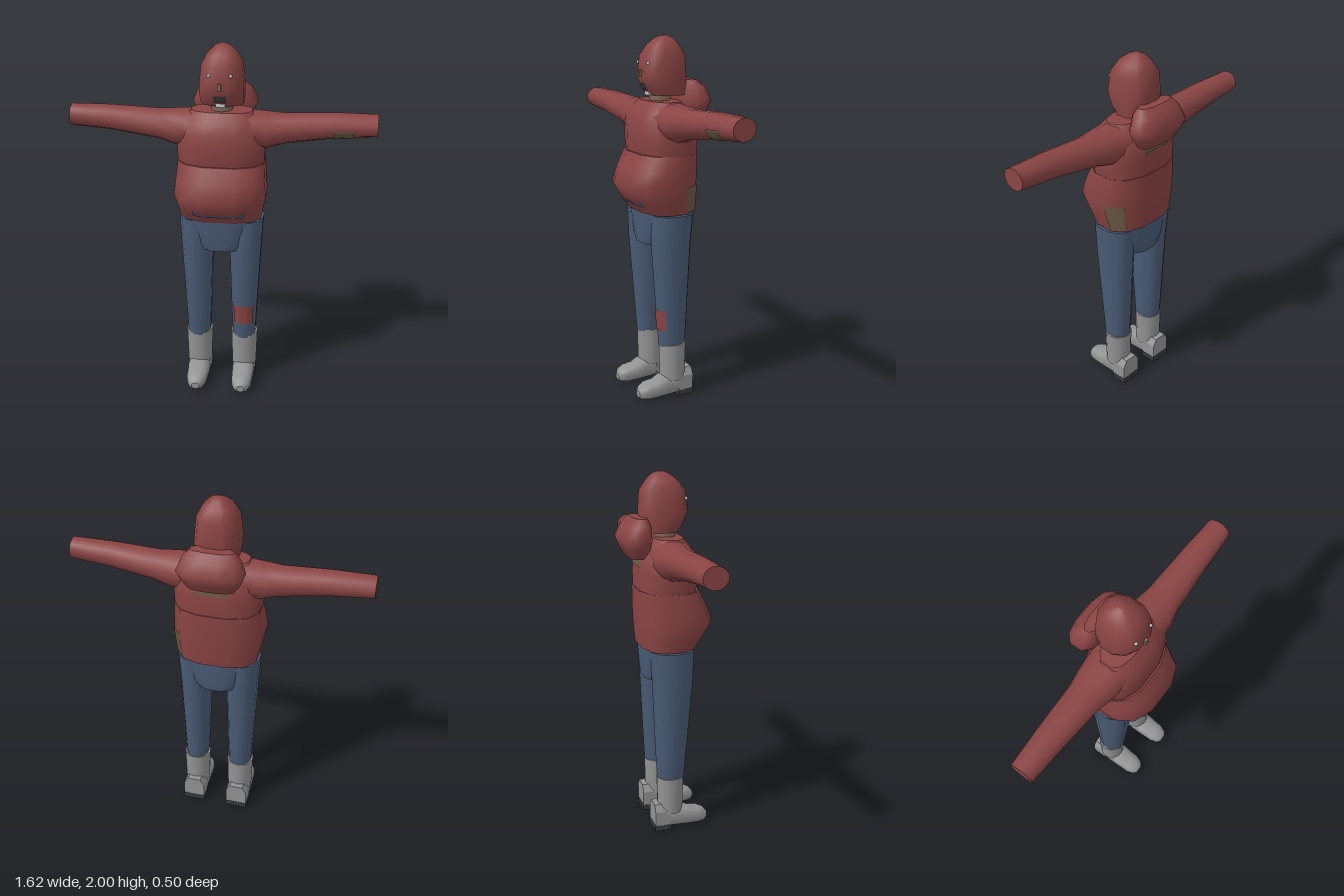
import * as THREE from 'three';

const material = (name, color) => new THREE.MeshStandardMaterial({ name, color });

const SEGS = 12;

// Ring format: [position, centreX, halfWidth, zFront, zBack]
function corner([p, cx, hx, zf, zb], i, n) {
  const a = ((i + 0.5) / SEGS) * Math.PI * 2;
  const bend = v => Math.sign(v) * Math.abs(v) ** (2 / n);
  return new THREE.Vector3(cx + hx * bend(Math.cos(a)), p, (zf + zb) / 2 + (zf - zb) / 2 * bend(Math.sin(a)));
}

// Skin over a stack of rounded rings, with flat caps
function loft(rings, n = 2.6) {
  const pos = [], idx = [];
  const push = v => pos.push(v.x, v.y, v.z) / 3 - 1;
  rings.forEach((r, j) => {
    for (let i = 0; i < SEGS; i++) {
      push(corner(r, i, n));
      if (j === rings.length - 1) continue;
      const a = j * SEGS + i, b = j * SEGS + (i + 1) % SEGS;
      idx.push(a, a + SEGS, b, b, a + SEGS, b + SEGS);
    }
  });
  [rings[0], rings[rings.length - 1]].forEach((r, top) => {
    const mid = push(new THREE.Vector3(r[1], r[0], (r[3] + r[4]) / 2));
    for (let i = 0; i < SEGS; i++) push(corner(r, i, n));
    for (let i = 0; i < SEGS; i++) {
      const a = mid + 1 + i, b = mid + 1 + (i + 1) % SEGS;
      idx.push(mid, top ? b : a, top ? a : b);
    }
  });
  return finish(pos, idx);
}

// Thin panel hugging a loft, between two positions and two angles (90 = front)
function patch(rings, p0, p1, a0, a1, n = 2.6, lift = 0.005) {
  const pos = [], idx = [], U = 10, V = 4;
  for (let v = 0; v <= V; v++) {
    const p = p0 + (p1 - p0) * v / V;
    let k = 0;
    while (k < rings.length - 2 && p > rings[k + 1][0]) k++;
    const t = (p - rings[k][0]) / (rings[k + 1][0] - rings[k][0]);
    const ring = rings[k].map((q, m) => q + (rings[k + 1][m] - q) * t);
    ring[2] += lift; ring[3] += lift; ring[4] -= lift;
    for (let u = 0; u <= U; u++) {
      const s = (a0 + (a1 - a0) * u / U) / 360 * SEGS - 0.5, i = Math.floor(s);
      const c = corner(ring, i, n).lerp(corner(ring, i + 1, n), s - i);
      pos.push(c.x, c.y, c.z);
      if (u < U && v < V) {
        const a = v * (U + 1) + u, b = a + U + 1;
        idx.push(a, b, a + 1, a + 1, b, b + 1);
      }
    }
  }
  return finish(pos, idx);
}

function finish(pos, idx) {
  const g = new THREE.BufferGeometry();
  g.setAttribute('position', new THREE.Float32BufferAttribute(pos, 3));
  g.setIndex(idx);
  g.computeVertexNormals();
  return g;
}

export function createModel() {
  const model = new THREE.Group();
  model.name = 'hoodedFigure';
  const red = material('redCloth', 0x8a4444);
  const blue = material('blueDenim', 0x4a5b75);
  const grey = material('greyBoot', 0x939393);
  const dark = material('darkRubber', 0x3a3a3a);
  const olive = material('olivePatch', 0x6b5a45);
  const skin = material('skin', 0x7d6656);
  const white = material('paleGrey', 0xc8c8c8);

  const add = (name, geometry, mat, x = 0, y = 0, z = 0) => {
    const m = new THREE.Mesh(geometry, mat);
    m.name = name;
    m.position.set(x, y, z);
    model.add(m);
    return m;
  };

  // Head with a tapered jaw
  const head = [
    [1.69, 0, 0.115, 0.075, -0.122], [1.73, 0, 0.119, 0.105, -0.128], [1.79, 0, 0.12, 0.128, -0.131],
    [1.9, 0, 0.108, 0.115, -0.125], [1.955, 0, 0.078, 0.075, -0.09], [1.988, 0, 0.042, 0.03, -0.06],
    [2.0, 0, 0.014, 0.0, -0.03]];
  add('head', loft(head), red);
  add('mouth', patch(head, 1.715, 1.755, 79, 101), dark);
  add('nose', new THREE.BoxGeometry(0.018, 0.035, 0.016), skin, 0, 1.805, 0.128);
  add('tooth', new THREE.BoxGeometry(0.05, 0.018, 0.012), white, 0, 1.698, 0.083);
  for (const s of [1, -1]) add('eye', new THREE.SphereGeometry(0.009, 8, 6), white, s * 0.057, 1.86, 0.111);
  add('neck', new THREE.CylinderGeometry(0.055, 0.06, 0.08, 12), skin, 0, 1.67, 0.01);

  // Folded hood behind the neck
  add('hood', loft([
    [1.56, 0, 0.125, -0.115, -0.2], [1.61, 0, 0.16, -0.085, -0.23], [1.66, 0, 0.18, -0.075, -0.252],
    [1.73, 0, 0.15, -0.08, -0.222], [1.768, 0, 0.115, -0.1, -0.175]]), red);

  // Jumper: chest, then a heavier belly
  const chest = [
    [1.33, 0, 0.23, 0.15, -0.15], [1.4, 0, 0.237, 0.168, -0.153], [1.48, 0, 0.24, 0.17, -0.153],
    [1.55, 0, 0.232, 0.165, -0.147], [1.61, 0, 0.205, 0.138, -0.115], [1.66, 0, 0.165, 0.095, -0.07]];
  add('chest', loft(chest), red);
  add('backPatch', patch(chest, 1.51, 1.59, 254, 286), olive);
  const belly = [
    [1.065, 0, 0.226, 0.16, -0.142], [1.13, 0, 0.238, 0.205, -0.148], [1.21, 0, 0.253, 0.255, -0.154],
    [1.3, 0, 0.245, 0.22, -0.157], [1.385, 0, 0.237, 0.175, -0.157]];
  add('belly', loft(belly), red);
  add('hipPatch', patch(belly, 1.075, 1.22, -46, -13), olive);
  add('pocketTrim', patch(belly, 1.11, 1.125, 60, 120), blue);
  for (const a of [60, 115]) add('pocketCorner', patch(belly, 1.11, 1.147, a, a + 5), blue);

  // Trouser seat
  add('trouserSeat', loft([
    [0.88, 0, 0.12, 0.137, -0.12], [0.92, 0, 0.165, 0.142, -0.123], [0.98, 0, 0.185, 0.148, -0.127],
    [1.07, 0, 0.21, 0.155, -0.132]]), blue);

  for (const s of [1, -1]) {
    const side = s > 0 ? 'left' : 'right';

    // Sleeve, lofted upright and laid out sideways
    const sleeve = [
      [0.12, -s * 1.565, 0.095, 0.13, -0.115], [0.24, -s * 1.555, 0.097, 0.12, -0.103],
      [0.33, -s * 1.566, 0.08, 0.1, -0.086], [0.59, -s * 1.592, 0.066, 0.086, -0.07],
      [0.81, -s * 1.6, 0.058, 0.075, -0.055]];
    add(side + 'Sleeve', loft(sleeve, 2).rotateZ(-s * Math.PI / 2), red);
    if (s > 0) add('elbowPatch', patch(sleeve, 0.59, 0.69, 10, 82, 2).rotateZ(-Math.PI / 2), olive);

    // Trouser leg
    const leg = [
      [0.3, s * 0.132, 0.066, 0.083, -0.07], [0.48, s * 0.132, 0.074, 0.097, -0.08],
      [0.88, s * 0.135, 0.09, 0.128, -0.098], [1.06, s * 0.137, 0.098, 0.132, -0.113]];
    add(side + 'TrouserLeg', loft(leg, 2.1), blue);
    if (s > 0) add('kneePatch', patch(leg, 0.4, 0.52, 46, 134, 2.1), red);

    // Boot: shaft, foot, heel counter and rubber heel
    add(side + 'BootShaft', new THREE.CylinderGeometry(0.077, 0.071, 0.215, 16), grey, s * 0.132, 0.2075, 0.003);
    const foot = [
      [-0.08, 0.058, 0.03, 0.12], [0, 0.064, 0.005, 0.132], [0.075, 0.064, 0.004, 0.125],
      [0.11, 0.061, 0.003, 0.105], [0.165, 0.059, 0.003, 0.098], [0.205, 0.044, 0.008, 0.08], [0.222, 0.022, 0.02, 0.058]];
    add(side + 'Foot', loft(foot.map(([z, w, lo, hi]) => [z, s * 0.132, w, -lo, -hi])).rotateX(Math.PI / 2), grey);
    const counter = new THREE.Shape([[-0.062, 0.03], [0.062, 0.03], [0.062, 0.115], [0.038, 0.155], [-0.038, 0.155], [-0.062, 0.115]]
      .map(p => new THREE.Vector2(...p)));
    add(side + 'HeelCounter', new THREE.ExtrudeGeometry(counter, { depth: 0.09, bevelEnabled: false }), grey, s * 0.132, 0, -0.098);
    add(side + 'Heel', new THREE.BoxGeometry(0.126, 0.032, 0.09), dark, s * 0.132, 0.016, -0.055);
  }
  return model;
}
